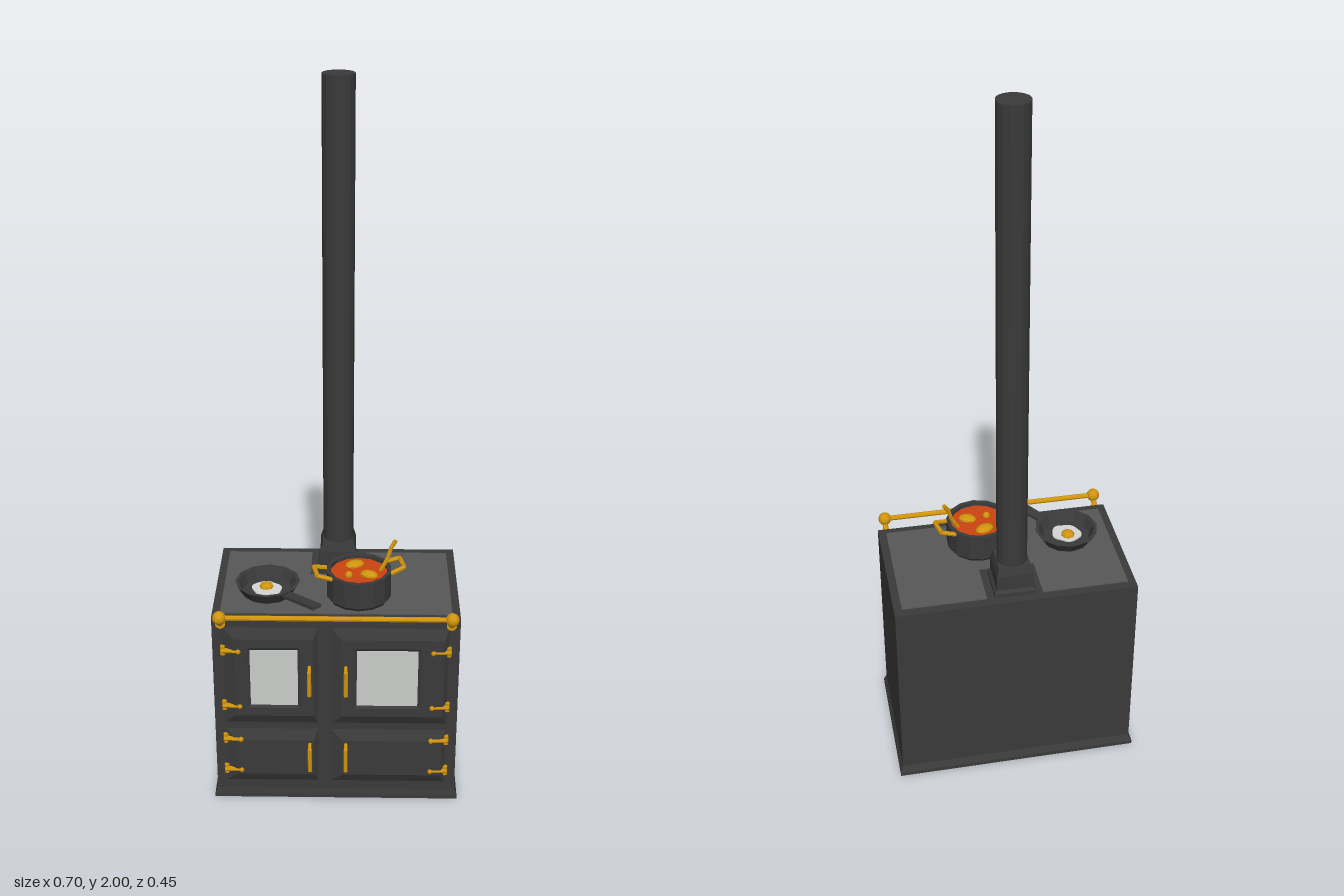
import * as THREE from 'three';

const mat = (name, color) => { const m = new THREE.MeshStandardMaterial({ color }); m.name = name; return m; };

export function createModel() {
  const iron = mat('dark iron', 0x3a3a3a), plate = mat('hotplate grey', 0x585858);
  const brass = mat('brass', 0xd0940e), glass = mat('glass', 0xc9cdca);
  const soupRed = mat('soup orange', 0xcd430f), white = mat('egg white', 0xd6d6d6);
  const root = new THREE.Group();
  root.name = 'stove';

  // Facet a geometry and add it as a named mesh
  function add(name, geo, material, x = 0, y = 0, z = 0, parent = root) {
    const g = geo.index ? geo.toNonIndexed() : geo;
    g.computeVertexNormals();
    const m = new THREE.Mesh(g, material);
    m.name = name;
    m.position.set(x, y, z);
    parent.add(m);
    return m;
  }
  const V = (x, y, z) => new THREE.Vector3(x, y, z);
  const box = (w, h, d) => new THREE.BoxGeometry(w, h, d);

  // Round bar between two points
  function rod(name, a, b, r, material = brass, sides = 8, r2 = r) {
    const d = b.clone().sub(a), mid = a.clone().add(b).multiplyScalar(0.5);
    const m = add(name, new THREE.CylinderGeometry(r2, r, d.length(), sides), material, mid.x, mid.y, mid.z);
    m.quaternion.setFromUnitVectors(V(0, 1, 0), d.normalize());
    return m;
  }

  // Loft of rectangles [x0, x1, y0, y1, depth] along z, capped at both ends
  function loft(rects) {
    const pos = [];
    const rings = rects.map(([x0, x1, y0, y1, d]) => [[x0, y0, d], [x1, y0, d], [x1, y1, d], [x0, y1, d]]);
    const quad = (a, b, c, d) => pos.push(...a, ...b, ...c, ...a, ...c, ...d);
    for (let k = 0; k + 1 < rings.length; k++)
      for (let i = 0; i < 4; i++) {
        const j = (i + 1) % 4;
        quad(rings[k][i], rings[k][j], rings[k + 1][j], rings[k + 1][i]);
      }
    const s = rings[0], e = rings[rings.length - 1];
    quad(s[3], s[2], s[1], s[0]);
    quad(e[0], e[1], e[2], e[3]);
    const g = new THREE.BufferGeometry();
    g.setAttribute('position', new THREE.Float32BufferAttribute(pos, 3));
    return g;
  }

  // Body with flared plinth and hollow underside
  add('body', loft([
    [-0.33, 0.33, -0.16, 0.205, 0.07], [-0.335, 0.335, -0.165, 0.21, 0],
    [-0.348, 0.348, -0.18, 0.227, 0], [-0.348, 0.348, -0.18, 0.227, 0.012],
    [-0.34, 0.34, -0.176, 0.218, 0.03], [-0.34, 0.34, -0.176, 0.218, 0.6],
  ]).rotateX(-Math.PI / 2), iron);
  add('undersideDivider', box(0.025, 0.03, 0.36), iron, -0.03, 0.056, -0.022);

  // Grey hotplate, notched around the flue
  const top = new THREE.Shape([[-0.318, -0.154], [0.318, -0.154], [0.318, 0.192], [0.082, 0.192],
    [0.082, 0.062], [-0.075, 0.062], [-0.075, 0.192], [-0.318, 0.192]].map(p => new THREE.Vector2(...p)));
  add('hotplate', new THREE.ExtrudeGeometry(top, { depth: 0.003, bevelEnabled: false }).rotateX(-Math.PI / 2), plate, 0, 0.6, 0);

  // Flue collar and pipe
  const sq = (h, y) => [-h, h, -h, h, y];
  add('flueCollar', loft([sq(0.058, 0), sq(0.058, 0.012), sq(0.051, 0.02), sq(0.051, 0.065), sq(0.044, 0.09)])
    .rotateX(-Math.PI / 2), iron, 0.002, 0.6, -0.134);
  add('fluePipe', new THREE.CylinderGeometry(0.043, 0.043, 1.33, 16), iron, 0.002, 1.335, -0.134);

  // Doors, with windows in the upper two
  const rows = [{ y0: 0.26, y1: 0.57, hinges: [0.5, 0.32], handle: [0.367, 0.456] },
    { y0: 0.06, y1: 0.237, hinges: [0.208, 0.103], handle: [0.113, 0.198] }];
  const columns = [{ side: -1, x0: -0.31, x1: -0.05, win: [-0.237, -0.105], hx: -0.073 },
    { side: 1, x0: -0.012, x1: 0.31, win: [0.058, 0.227], hx: 0.028 }];
  for (const c of columns) for (const [i, r] of rows.entries()) {
    const b = 0.03;
    const rings = [[c.x0, c.x1, r.y0, r.y1, 0.17], [c.x0, c.x1, r.y0, r.y1, 0.178],
      [c.x0 + b, c.x1 - b * 0.4, r.y0 + b, r.y1 - b, 0.191]];
    if (i === 0) {
      const [w0, w1] = c.win;
      rings.push([w0 - 0.008, w1 + 0.008, 0.317, 0.512, 0.191], [w0, w1, 0.325, 0.504, 0.186]);
      add('window', box(w1 - w0, 0.179, 0.002), glass, (w0 + w1) / 2, 0.4145, 0.187);
    }
    add(i === 0 ? 'upperDoor' : 'lowerDoor', loft(rings), iron);

    // Handle: two angled pegs and a grip
    const [h0, h1] = r.handle, z = 0.214;
    rod('handlePeg', V(c.hx, h0, 0.18), V(c.hx, h0 + 0.012, z), 0.005);
    rod('handlePeg', V(c.hx, h1, 0.18), V(c.hx, h1 - 0.012, z), 0.005);
    rod('handleGrip', V(c.hx, h0 + 0.006, z), V(c.hx, h1 - 0.006, z), 0.006);

    // Hinges: barrel, tapered strap and end knob
    for (const y of r.hinges) {
      rod('hingeBarrel', V(c.side * 0.311, y - 0.014, 0.182), V(c.side * 0.311, y + 0.014, 0.182), 0.007);
      rod('hingeStrap', V(c.side * 0.315, y, 0.183), V(c.side * 0.27, y, 0.191), 0.009, brass, 6, 0.004);
      add('hingeKnob', new THREE.SphereGeometry(0.008, 6, 5), brass, c.side * 0.268, y, 0.19);
    }
  }

  // Front towel rail with ball ends and brackets
  rod('rail', V(-0.315, 0.617, 0.206), V(0.315, 0.617, 0.206), 0.0075);
  for (const s of [-1, 1]) {
    add('railBall', new THREE.SphereGeometry(0.019, 12, 8), brass, s * 0.315, 0.617, 0.206);
    rod('railBracketPad', V(s * 0.315, 0.585, 0.174), V(s * 0.315, 0.585, 0.187), 0.014, brass, 10);
    rod('railBracket', V(s * 0.315, 0.585, 0.182), V(s * 0.315, 0.617, 0.206), 0.008);
  }

  const lathe = (pts, n) => new THREE.LatheGeometry(pts.map(p => new THREE.Vector2(...p)), n);

  // Frying pan with fried egg
  add('fryingPan', lathe([[0, 0], [0.07, 0], [0.091, 0.034], [0.081, 0.034], [0.068, 0.008], [0, 0.008]], 12), iron, -0.193, 0.603, 0.037);
  const panHandle = add('panHandle', box(0.03, 0.009, 0.138), iron, -0.096, 0.638, 0.146);
  panHandle.lookAt(-0.05, 0.648, 0.197);
  const blob = [];
  for (let i = 0; i < 24; i++) {
    const a = i / 24 * Math.PI * 2, r = 0.04 + 0.003 * Math.sin(2 * a + 2.6) + 0.002 * Math.sin(5 * a);
    blob.push(new THREE.Vector2(r * Math.cos(a), r * Math.sin(a)));
  }
  add('eggWhite', new THREE.ExtrudeGeometry(new THREE.Shape(blob), { depth: 0.004, bevelEnabled: false })
    .rotateX(-Math.PI / 2), white, -0.195, 0.611, 0.041);
  add('eggYolk', new THREE.SphereGeometry(0.02, 8, 6).scale(1, 0.6, 1), brass, -0.197, 0.616, 0.032);

  // Pot with soup, potatoes, handles and spoon
  const px = 0.062, pz = 0.058;
  add('pot', lathe([[0, 0], [0.084, 0], [0.091, 0.01], [0.091, 0.087], [0.08, 0.087], [0.078, 0.06], [0, 0.06]], 14), iron, px, 0.603, pz);
  add('soup', new THREE.CylinderGeometry(0.081, 0.078, 0.006, 14), soupRed, px, 0.676, pz);
  for (const [x, z, w, d, turn] of [[0.05, 0.02, 0.028, 0.019, 0.4], [0.09, 0.076, 0.026, 0.018, -0.4], [0.034, 0.08, 0.011, 0.011, 0]])
    add('potato', new THREE.IcosahedronGeometry(1, 1).scale(w, 0.012, d), brass, x, 0.681, z).rotation.y = turn;
  const ca = Math.cos(0.22), sa = Math.sin(0.22);
  for (const s of [-1, 1]) {
    const pts = [[0.082, -0.034], [0.122, -0.027], [0.122, 0.027], [0.082, 0.034]]
      .map(([u, v], i) => V(px + s * (u * ca - v * sa), i % 3 ? 0.695 : 0.683, pz - s * (u * sa + v * ca)));
    for (let i = 0; i < 3; i++) rod('potHandle', pts[i], pts[i + 1], 0.0065, brass, 6);
  }
  rod('spoon', V(0.118, 0.67, 0.047), V(0.142, 0.715, 0.042), 0.006, brass, 6);
  rod('spoon', V(0.141, 0.713, 0.042), V(0.15, 0.745, 0.039), 0.006, brass, 6);
  rod('spoon', V(0.149, 0.743, 0.039), V(0.163, 0.766, 0.035), 0.006, brass, 6);

  return root;
}
